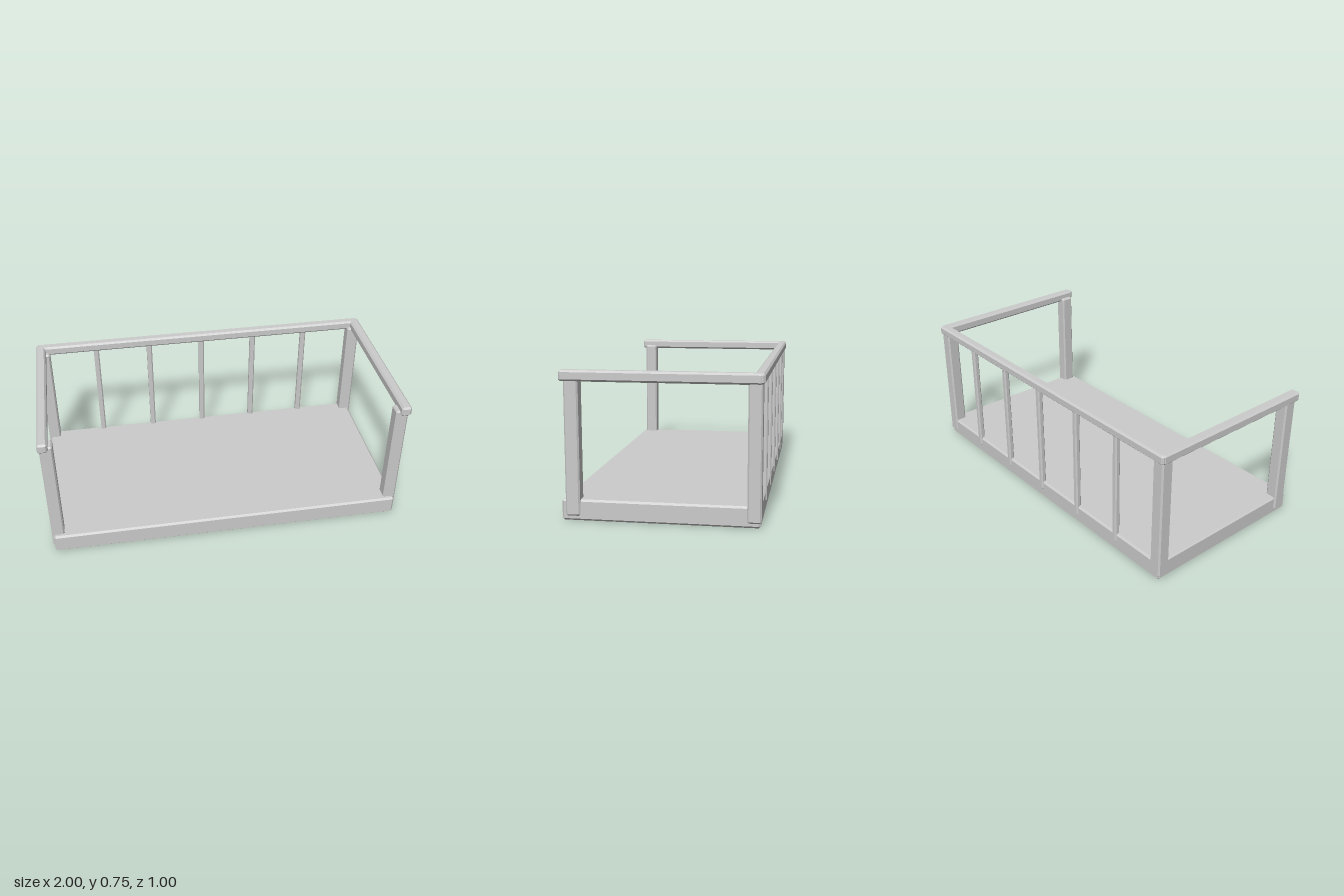
import * as THREE from 'three';
import { ConvexGeometry } from 'three/addons/geometries/ConvexGeometry.js';

const material = new THREE.MeshStandardMaterial({ color: 0xcccccc, flatShading: true });

// Box with chamfered edges, given its extents [min, max] on each axis
function beam(name, xs, ys, zs, bevel) {
  const ranges = [xs, ys, zs];
  const half = ranges.map(([a, b]) => (b - a) / 2);
  const points = [];
  for (const sx of [-1, 1]) for (const sy of [-1, 1]) for (const sz of [-1, 1]) {
    for (let outer = 0; outer < 3; outer++) {
      const c = half.map((h, axis) => (axis === outer ? h : h - bevel));
      points.push(new THREE.Vector3(sx * c[0], sy * c[1], sz * c[2]));
    }
  }
  const mesh = new THREE.Mesh(new ConvexGeometry(points), material);
  mesh.name = name;
  mesh.position.set(...ranges.map(([a, b]) => (a + b) / 2));
  return mesh;
}

export function createModel() {
  const model = new THREE.Group();
  model.name = 'balcony';

  // Floor slab
  model.add(beam('floor', [-0.98, 0.98], [0, 0.107], [-0.485, 0.5], 0.01));

  // Corner posts and side handrails, mirrored left and right
  for (const side of [-1, 1]) {
    const label = side > 0 ? 'left' : 'right';
    const span = (a, b) => (side > 0 ? [a, b] : [-b, -a]);
    model.add(beam(label + 'FrontPost', span(0.92, 0.99), [0.025, 0.715], [0.405, 0.478], 0.008));
    model.add(beam(label + 'BackPost', span(0.92, 0.99), [0.025, 0.715], [-0.49, -0.42], 0.008));
    model.add(beam(label + 'Rail', span(0.942, 0.998), [0.695, 0.75], [-0.49, 0.5], 0.01));
  }

  // Back handrail
  model.add(beam('backRail', [-0.995, 0.995], [0.697, 0.75], [-0.5, -0.447], 0.01));

  // Thin balusters along the back
  for (let i = -2; i <= 2; i++) {
    const x = i * 0.322;
    model.add(beam('baluster', [x - 0.016, x + 0.016], [0.05, 0.715], [-0.492, -0.46], 0.007));
  }
  return model;
}
